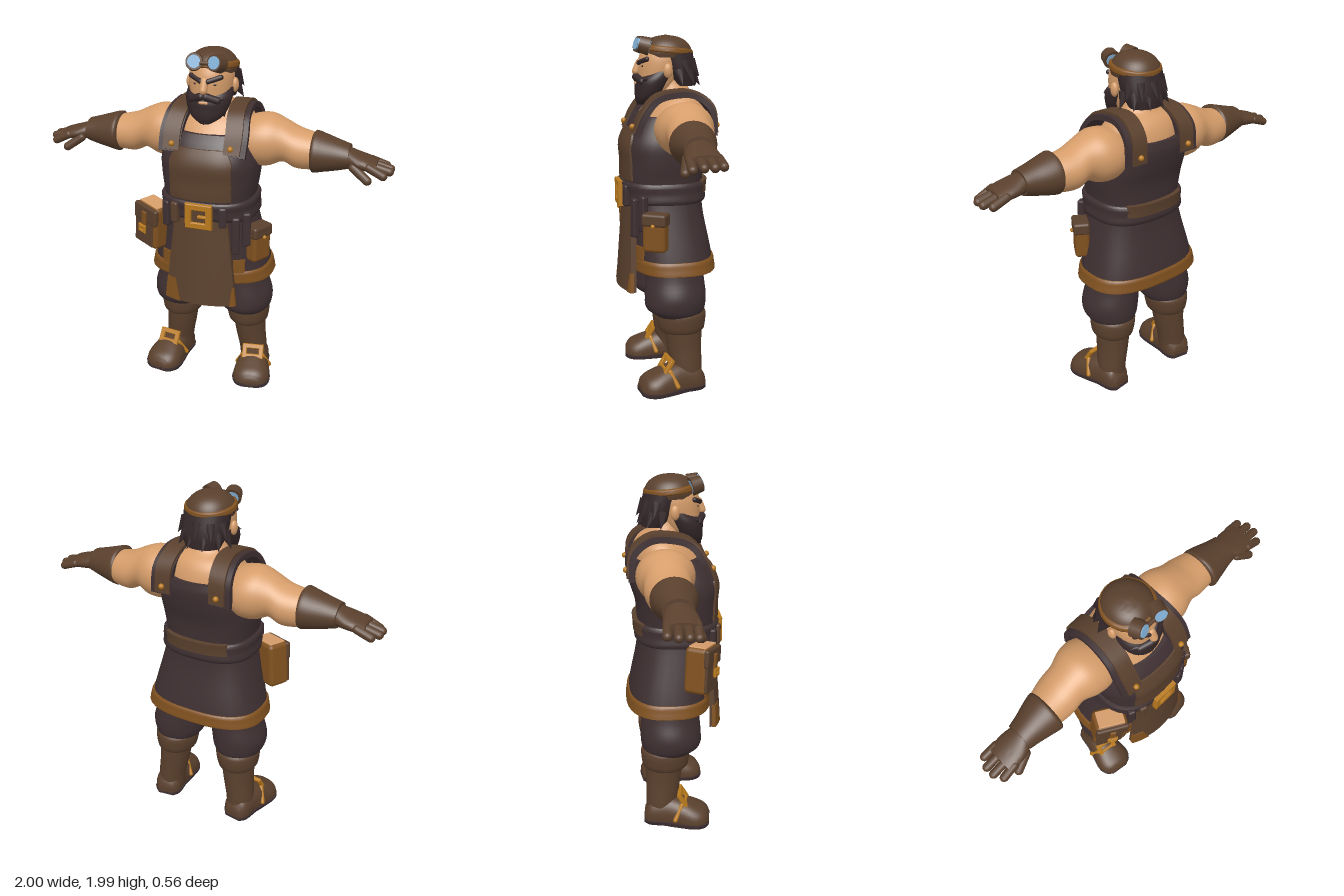
import * as THREE from 'three';
import { toCreasedNormals } from 'three/addons/utils/BufferGeometryUtils.js';
import { RoundedBoxGeometry } from 'three/addons/geometries/RoundedBoxGeometry.js';

const mat = (name, color) => Object.assign(new THREE.MeshStandardMaterial({ color }), { name });
const skin = mat('skin', 0xd69d6a), cloth = mat('darkCloth', 0x3f3032), leather = mat('leather', 0x5a402d);
const trim = mat('tanLeather', 0x80511f), gold = mat('brass', 0xb97a1e), hair = mat('hair', 0x35282a);
const glass = mat('lens', 0x85b4da);
const V = (x, y, z) => new THREE.Vector3(x, y, z);

function add(parent, name, geo, material, pos = [0, 0, 0], rot = [0, 0, 0]) {
  const m = new THREE.Mesh(geo, material);
  m.name = name;
  m.position.set(...pos);
  m.rotation.set(...rot);
  parent.add(m);
  return m;
}

// Closed surface through a stack of equal-sized point rings
function stack(rings) {
  const n = rings[0].length, pos = [], idx = [], last = rings.length - 1;
  rings.forEach(r => r.forEach(p => pos.push(p.x, p.y, p.z)));
  const centre = r => {
    const c = V(0, 0, 0);
    r.forEach(p => c.addScaledVector(p, 1 / n));
    pos.push(c.x, c.y, c.z);
    return pos.length / 3 - 1;
  };
  const c0 = centre(rings[0]), c1 = centre(rings[last]);
  for (let j = 0; j < n; j++) {
    const k = (j + 1) % n;
    for (let i = 0; i < last; i++) {
      const a = i * n + j, b = i * n + k;
      idx.push(a, a + n, b, a + n, b + n, b);
    }
    idx.push(c0, j, k, c1, last * n + k, last * n + j);
  }
  const g = new THREE.BufferGeometry();
  g.setAttribute('position', new THREE.Float32BufferAttribute(pos, 3));
  g.setIndex(idx);
  return toCreasedNormals(g, 0.7);
}

// Smooth interpolation of section rows [t, a, b, ra, rb]
function sample(R, t) {
  let i = 0;
  while (i < R.length - 2 && t > R[i + 1][0]) i++;
  const a = R[i], b = R[i + 1], p = R[i - 1] || a, q = R[i + 2] || b, h = b[0] - a[0];
  const u = THREE.MathUtils.clamp((t - a[0]) / h, 0, 1), u2 = u * u, u3 = u2 * u;
  return a.map((_, k) => (2 * u3 - 3 * u2 + 1) * a[k] + (3 * u2 - 2 * u3) * b[k]
    + (u3 - 2 * u2 + u) * h * (b[k] - p[k]) / (b[0] - p[0]) + (u3 - u2) * h * (q[k] - a[k]) / (q[0] - a[0]));
}

// Rounded sections along an axis: y uses (x, z), x uses (z, y), z uses (y, x)
const place = { y: (t, a, b) => V(a, t, b), x: (t, a, b) => V(t, b, a), z: (t, a, b) => V(b, a, t) };
function loft(R, axis = 'y', e = 2, lo = -9, hi = 9) {
  const rings = [], sp = (v) => Math.sign(v) * Math.abs(v) ** (2 / e);
  for (let i = 0; i < R.length - 1; i++) for (let s = i ? 1 : 0; s <= 4; s++) {
    const [t, a, b, ra, rb] = sample(R, R[i][0] + (R[i + 1][0] - R[i][0]) * s / 4);
    rings.push(Array.from({ length: 36 }, (_, j) => {
      const th = j / 36 * Math.PI * 2;
      const p = place[axis](t, a + ra * sp(Math.cos(th)), b + rb * sp(Math.sin(th)));
      p.y = THREE.MathUtils.clamp(p.y, lo, hi);
      return p;
    }));
  }
  return stack(rings);
}

// Flat strap swept along a curve, its width along x
function ribbon(pts, width, thick) {
  const c = new THREE.CatmullRomCurve3(pts.map(p => V(...p))), W = V(1, 0, 0);
  return stack(Array.from({ length: 33 }, (_, i) => {
    const p = c.getPoint(i / 32), u = c.getTangent(i / 32).cross(W).normalize();
    return [[1, 1], [-1, 1], [-1, -1], [1, -1]].map(([a, b]) =>
      p.clone().addScaledVector(u, a * thick / 2).addScaledVector(W, b * width / 2));
  }));
}

// Curved sheet between xl(y) and xr(y) with its outer face at z(x, y)
function panel(y0, y1, xl, xr, z, thick, back = 1) {
  return stack(Array.from({ length: 13 }, (_, i) => {
    const y = y0 + (y1 - y0) * i / 12, l = xl(y), r = xr(y), out = [], inn = [];
    for (let j = 0; j <= 12; j++) {
      const x = r + (l - r) * j / 12, f = z(x, y);
      out.push(V(x * back, y, f * back));
      inn.unshift(V(x * back, y, (f - thick) * back));
    }
    return [...out, ...inn];
  }));
}

// Rounded rod or pointed tuft from p to q
function rod(p, q, r, pointed = false) {
  const a = V(...p), b = V(...q), d = b.clone().sub(a), L = d.length();
  const g = pointed ? new THREE.ConeGeometry(r, L, 8) : new THREE.CapsuleGeometry(r, L, 6, 14);
  g.applyQuaternion(new THREE.Quaternion().setFromUnitVectors(V(0, 1, 0), d.normalize()));
  const m = a.add(b).multiplyScalar(0.5);
  return g.translate(m.x, m.y, m.z);
}

function frame(w, h, bar, depth) {
  const rect = (C, a, b) => new C([[-a, -b], [a, -b], [a, b], [-a, b]].map(p => new THREE.Vector2(...p)));
  const s = rect(THREE.Shape, w / 2, h / 2);
  s.holes.push(rect(THREE.Path, w / 2 - bar, h / 2 - bar));
  return new THREE.ExtrudeGeometry(s, { depth, bevelEnabled: true, bevelSize: 0.004, bevelThickness: 0.004, bevelSegments: 1 });
}
const rbox = (w, h, d, r = 0.015) => new RoundedBoxGeometry(w, h, d, 2, r);

const VEST_E = 2.6;
const VEST = [[0.69, 0, -0.035, 0.355, 0.235], [0.8, 0, -0.025, 0.33, 0.23], [1.0, 0, 0, 0.28, 0.215],
  [1.12, 0, 0.01, 0.255, 0.215], [1.2, 0, 0.015, 0.258, 0.225], [1.3, 0, 0.01, 0.272, 0.23],
  [1.4, 0, -0.003, 0.275, 0.247], [1.5, 0, -0.035, 0.25, 0.235], [1.55, 0, -0.05, 0.235, 0.212]];
const band = (y0, y1, o) => loft([0, 0.12, 0.5, 0.88, 1].map((u, i) => {
  const [t, a, b, ra, rb] = sample(VEST, y0 + (y1 - y0) * u), k = i % 4 ? o : o * 0.5;
  return [t, a, b, ra + k, rb + k];
}), 'y', VEST_E);
const bodyZ = (x, y, s = 1) => {
  const [, , cz, rx, rz] = sample(VEST, y);
  return s * cz + rz * Math.max(0, 1 - Math.abs(x / rx) ** VEST_E) ** (1 / VEST_E);
};

function torso(g) {
  add(g, 'shouldersAndNeck', loft([[1.44, 0, -0.03, 0.24, 0.19], [1.52, 0, -0.04, 0.24, 0.2], [1.6, 0, -0.06, 0.23, 0.165],
    [1.65, 0, -0.07, 0.19, 0.125], [1.69, 0, -0.05, 0.11, 0.095], [1.78, 0, -0.02, 0.085, 0.085]]), skin);
  add(g, 'vest', loft(VEST, 'y', VEST_E), cloth);
  add(g, 'hemTrim', band(0.683, 0.765, 0.01), trim);
  add(g, 'belt', band(1.075, 1.19, 0.02), cloth);
  const bibW = y => 0.175 - Math.max(0, y - 1.42) * 0.5;
  add(g, 'chestPanel', panel(1.2, 1.485, y => -bibW(y), bibW, (x, y) => bodyZ(x, y) + 0.01, 0.02), leather);
  add(g, 'backBeltPanel', panel(1.125, 1.195, () => -0.19, () => 0.19, (x, y) => bodyZ(x, y, -1) + 0.027, 0.02, -1), leather);
  // Hanging apron
  const w = y => 0.21 - (y - 0.57) * 0.11, az = (x, y) => 0.238 + (1.1 - y) * 0.075 - 1.2 * x * x;
  add(g, 'apron', panel(0.57, 1.1, y => -w(y), w, az, 0.03), leather);
  add(g, 'apronPatch', panel(0.568, 0.7, y => -w(y) - 0.002, y => -w(y) + 0.1 - (y - 0.57) * 0.35, (x, y) => az(x, y) + 0.005, 0.02), trim);
  add(g, 'apronPatch', panel(0.568, 0.68, y => w(y) - 0.03 + (y - 0.57) * 0.2, y => w(y) + 0.002, (x, y) => az(x, y) + 0.005, 0.02), trim);
  for (const s of [-1, 1]) add(g, 'skirtEdgeTrim', panel(0.7, 0.84, y => s * 0.215 - 0.03, y => s * 0.215 + 0.03,
    (x, y) => bodyZ(x, y) + 0.009, 0.018), trim);
  // Belt fittings
  add(g, 'beltBuckle', frame(0.145, 0.135, 0.027, 0.025), gold, [0.005, 1.115, 0.245]);
  add(g, 'buckleCentre', rbox(0.1, 0.09, 0.02, 0.005), leather, [0.005, 1.115, 0.248]);
  add(g, 'bucklePin', rbox(0.06, 0.016, 0.02, 0.005), gold, [0.03, 1.115, 0.265]);
  for (const [x, y, z, h, m] of [[-0.14, 1.115, 0.235, 0.12, leather], [0.135, 1.115, 0.235, 0.12, cloth], [0.2, 1.0, 0.2, 0.22, cloth],
    [0.25, 1.03, 0.16, 0.2, cloth], [-0.2, 1.09, 0.205, 0.15, cloth]])
    add(g, 'beltLoop', rbox(0.045, h, 0.04, 0.012), m, [x, y, z], [0, x * 2, 0]);
}

function bags(g) {
  const bag = new THREE.Group();
  bag.name = 'sideBag';
  bag.position.set(-0.31, 0.98, 0.13);
  bag.rotation.set(0, -0.5, -0.1);
  add(bag, 'bagBody', rbox(0.185, 0.26, 0.13, 0.025), trim);
  add(bag, 'bagFront', rbox(0.155, 0.2, 0.02, 0.009), leather, [-0.01, -0.02, 0.062]);
  add(bag, 'bagFlap', rbox(0.19, 0.1, 0.03, 0.012), leather, [0, 0.075, 0.062]);
  add(bag, 'bagTop', rbox(0.15, 0.01, 0.1, 0.004), skin, [0, 0.13, 0]);
  add(bag, 'bagStrap', rbox(0.035, 0.13, 0.015, 0.006), trim, [0, 0.03, 0.08]);
  add(bag, 'bagClasp', frame(0.05, 0.04, 0.01, 0.008), gold, [0, -0.01, 0.086]);
  const pouch = new THREE.Group();
  pouch.name = 'smallPouch';
  pouch.position.set(0.3, 0.94, 0.1);
  pouch.rotation.set(0, 1.05, 0);
  add(pouch, 'pouchBody', rbox(0.13, 0.2, 0.085, 0.02), trim, [0, -0.01, 0]);
  add(pouch, 'pouchFlap', rbox(0.14, 0.07, 0.095, 0.015), leather, [0, 0.07, 0.003]);
  add(pouch, 'pouchButton', new THREE.SphereGeometry(0.012, 10, 8), gold, [0, 0.04, 0.052]);
  g.add(bag, pouch);
}

function head(g) {
  add(g, 'face', loft([[1.64, 0, 0.05, 0.06, 0.06], [1.7, 0, 0.04, 0.1, 0.1], [1.78, 0, 0.02, 0.118, 0.125],
    [1.86, 0, 0.005, 0.121, 0.135], [1.93, 0, 0, 0.1, 0.11]]), skin);
  add(g, 'nose', rod([0, 1.835, 0.137], [0, 1.79, 0.156], 0.022), skin);
  add(g, 'lowerLip', rod([-0.018, 1.724, 0.156], [0.018, 1.724, 0.156], 0.009), skin);
  add(g, 'beard', loft([[1.605, 0, 0.125, 0.03, 0.025], [1.635, 0, 0.105, 0.08, 0.055], [1.68, 0, 0.08, 0.112, 0.082],
    [1.74, 0, 0.055, 0.127, 0.102], [1.79, 0, 0.015, 0.124, 0.09]]), hair);
  for (let i = -3; i <= 3; i++) add(g, 'beardTuft', rod([i * 0.026, 1.665, 0.125 - i * i * 0.006],
    [i * 0.031, 1.6 + Math.abs(i) * 0.011, 0.155 - i * i * 0.009], 0.028, true), hair);
  add(g, 'backHair', loft([[1.71, 0, -0.105, 0.1, 0.075], [1.78, 0, -0.085, 0.126, 0.1], [1.89, 0, -0.05, 0.13, 0.112]]), hair);
  for (let i = 0; i < 11; i++) {
    const a = Math.PI * (0.02 + 0.96 * i / 10), c = Math.cos(a), s = Math.sin(a), y = 1.76 + (i % 2) * 0.05;
    add(g, 'hairTuft', rod([c * 0.11, y + 0.03, -0.06 - s * 0.09], [c * 0.155, y - 0.05, -0.07 - s * 0.135], 0.034, true), hair);
  }
  add(g, 'cap', loft([[1.865, 0, -0.018, 0.128, 0.138], [1.9, 0, -0.018, 0.132, 0.14], [1.945, 0, -0.016, 0.108, 0.116],
    [1.975, 0, -0.014, 0.062, 0.068], [1.986, 0, -0.012, 0.008, 0.008]]), leather);
  add(g, 'goggleStrap', loft([[-0.017, 0, 0, 0.134, 0.141], [-0.012, 0, 0, 0.14, 0.147], [0.012, 0, 0, 0.136, 0.143],
    [0.017, 0, 0, 0.126, 0.133]]), trim, [0, 1.905, -0.018], [-0.1, 0, 0]);
  add(g, 'goggleBridge', rod([-0.03, 1.93, 0.132], [0.03, 1.93, 0.132], 0.012), leather);
}

function sideParts(s) {
  const g = new THREE.Group();
  g.name = s > 0 ? 'leftSide' : 'rightSide';
  g.scale.x = s;
  // Shoulder straps
  const path = [[0.17, 1.46, 0.195], [0.172, 1.57, 0.145], [0.16, 1.65, 0.075], [0.15, 1.678, -0.03], [0.15, 1.672, -0.14],
    [0.16, 1.6, -0.23], [0.165, 1.46, -0.248]];
  add(g, 'strapLining', ribbon(path.map(([x, y, z]) => [x + 0.012, y - 0.012, z * 0.97]), 0.125, 0.03), cloth);
  add(g, 'shoulderStrap', ribbon(path, 0.092, 0.036), leather);
  for (const z of [0.205, -0.268]) add(g, 'strapRivet', new THREE.SphereGeometry(0.016, 12, 8), gold, [0.165, 1.5, z]);
  // Arm and glove
  add(g, 'arm', loft([[0.16, -0.05, 1.49, 0.13, 0.11], [0.24, -0.06, 1.488, 0.158, 0.142], [0.32, -0.062, 1.492, 0.153, 0.146],
    [0.4, -0.06, 1.493, 0.124, 0.116], [0.47, -0.06, 1.462, 0.124, 0.113], [0.54, -0.055, 1.453, 0.114, 0.104],
    [0.62, -0.045, 1.453, 0.095, 0.09]], 'x'), skin);
  add(g, 'gloveCuff', loft([[0.56, -0.04, 1.455, 0.112, 0.105], [0.57, -0.04, 1.455, 0.122, 0.115], [0.62, -0.04, 1.453, 0.113, 0.104],
    [0.7, -0.036, 1.45, 0.092, 0.083], [0.76, -0.033, 1.45, 0.08, 0.066]], 'x'), leather);
  add(g, 'glovePalm', loft([[0.74, -0.033, 1.45, 0.066, 0.056], [0.8, -0.027, 1.438, 0.085, 0.045], [0.86, -0.025, 1.427, 0.088, 0.038],
    [0.91, -0.025, 1.418, 0.082, 0.03]], 'x'), leather);
  [-0.095, -0.048, 0, 0.045].forEach((z, i) => {
    const tip = i % 3 ? 0.977 : 0.95;
    add(g, 'finger', rod([0.87, 1.425, z], [tip, 1.398 - (i === 3 ? 0.012 : 0), z * 1.05], 0.023), leather);
  });
  add(g, 'thumb', rod([0.79, 1.415, 0.04], [0.872, 1.358, 0.065], 0.024), leather);
  // Leg
  add(g, 'trouserLeg', loft([[0.43, 0.205, -0.05, 0.12, 0.13], [0.475, 0.203, -0.03, 0.15, 0.168], [0.55, 0.2, -0.03, 0.16, 0.173],
    [0.65, 0.18, -0.03, 0.15, 0.165], [0.78, 0.16, -0.03, 0.15, 0.16]]), cloth);
  add(g, 'bootCuff', loft([[0.34, 0.212, -0.062, 0.108, 0.12], [0.355, 0.212, -0.062, 0.118, 0.132], [0.44, 0.208, -0.062, 0.13, 0.14],
    [0.468, 0.207, -0.06, 0.118, 0.128]]), leather);
  add(g, 'bootShaft', loft([[0.04, 0.245, -0.09, 0.08, 0.085], [0.13, 0.24, -0.085, 0.083, 0.09], [0.25, 0.224, -0.076, 0.09, 0.1],
    [0.38, 0.214, -0.07, 0.1, 0.11]]), leather);
  // Foot
  const foot = new THREE.Group();
  foot.name = 'foot';
  foot.position.set(0.265, 0, 0);
  foot.rotation.y = 0.15;
  const F = [[-0.185, 0.03, 0, 0.05, 0.05], [-0.15, 0.045, 0, 0.09, 0.078], [-0.05, 0.05, 0, 0.11, 0.084], [0.04, 0.04, 0, 0.105, 0.1],
    [0.12, 0.03, 0, 0.085, 0.108], [0.17, 0.025, 0, 0.065, 0.085], [0.192, 0.02, 0, 0.035, 0.05]];
  add(foot, 'boot', loft(F, 'z', 2.3, 0.015), leather);
  add(foot, 'sole', loft(F.map(r => [...r.slice(0, 4), r[4] + 0.006]), 'z', 2.6, 0, 0.024), cloth);
  add(foot, 'bootBuckle', frame(0.12, 0.08, 0.02, 0.016), gold, [0, 0.152, 0.03], [-0.55, 0, 0]);
  for (const k of [-1, 1]) add(foot, 'buckleStrap', rod([k * 0.06, 0.13, 0.035], [k * 0.098, 0.05, 0.0], 0.013), gold);
  g.add(foot);
  // Face details
  add(g, 'ear', new THREE.SphereGeometry(0.032, 14, 10).scale(0.6, 1.25, 0.8), skin, [0.128, 1.795, 0.0]);
  add(g, 'eye', new THREE.SphereGeometry(0.013, 10, 8).scale(1.4, 0.6, 0.6), hair, [0.046, 1.818, 0.126]);
  add(g, 'eyebrow', rod([0.02, 1.836, 0.142], [0.082, 1.856, 0.108], 0.014), hair);
  add(g, 'moustache', rod([0.014, 1.757, 0.155], [0.07, 1.735, 0.132], 0.021), hair);
  add(g, 'moustacheTip', rod([0.06, 1.737, 0.135], [0.118, 1.75, 0.11], 0.02, true), hair);
  add(g, 'goggleRim', new THREE.CylinderGeometry(0.044, 0.05, 0.06, 20), leather, [0.062, 1.93, 0.116], [1.3, 0, 0.25]);
  add(g, 'goggleLens', new THREE.CylinderGeometry(0.034, 0.034, 0.066, 20), glass, [0.062, 1.931, 0.118], [1.3, 0, 0.25]);
  return g;
}

export function createModel() {
  const model = new THREE.Group();
  model.name = 'craftsman';
  torso(model);
  bags(model);
  head(model);
  model.add(sideParts(1), sideParts(-1));
  return model;
}
